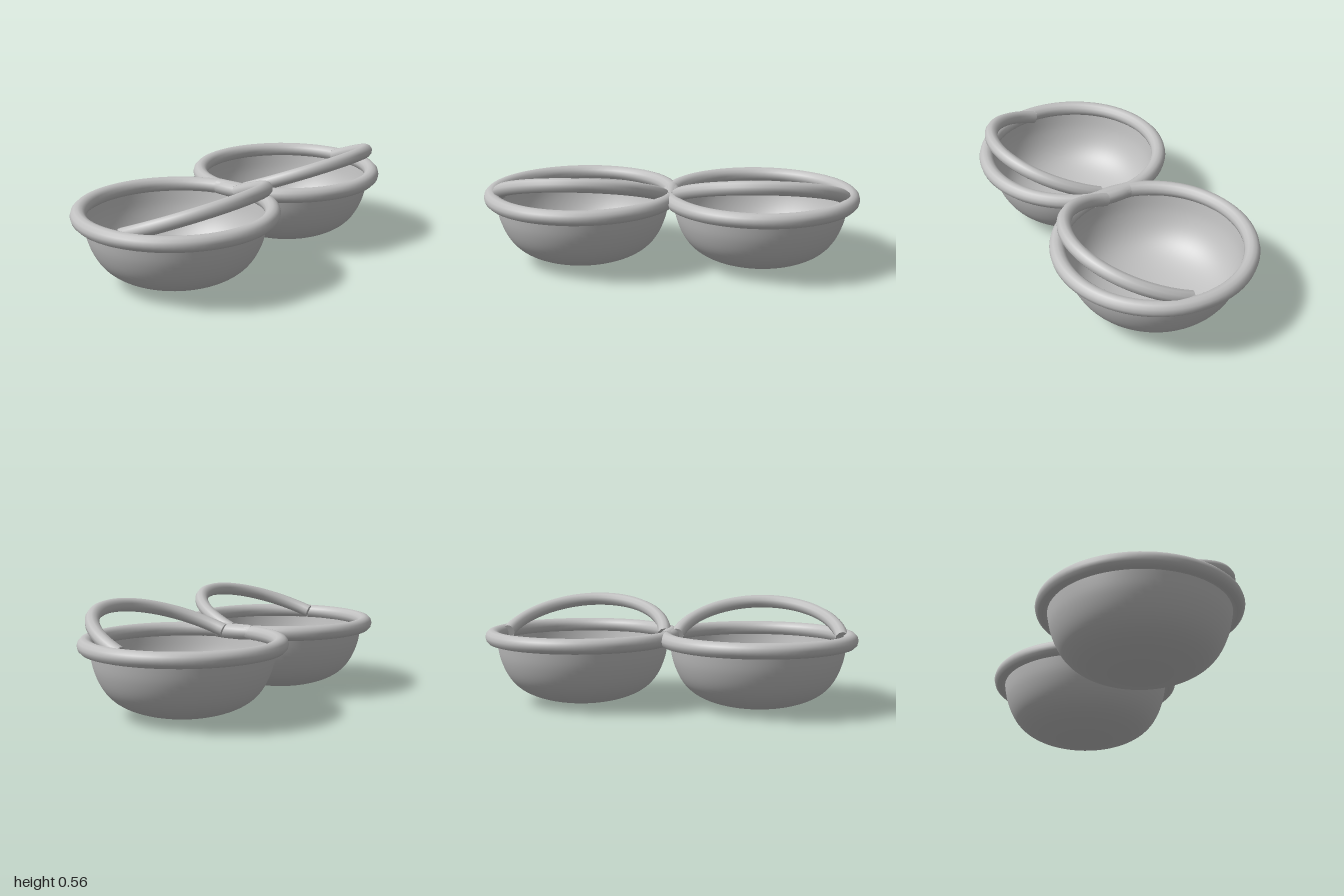
import * as THREE from 'three';

const BOWL_X = 0.475, RIM_Y = 0.365, HANDLE_R = 0.036;

export function createModel() {
  const grey = new THREE.MeshStandardMaterial({ color: 0xc0c0c0, side: THREE.DoubleSide });
  grey.name = 'grey';
  const model = new THREE.Group();
  model.name = 'twinBowls';

  const add = (parent, name, geometry) => {
    const mesh = new THREE.Mesh(geometry, grey);
    mesh.name = name;
    parent.add(mesh);
    return mesh;
  };

  // Thin bowl wall, from the middle of the base up into the rim
  const wall = new THREE.SplineCurve([
    [0, 0.003], [0.1, 0.007], [0.2, 0.024], [0.28, 0.05], [0.34, 0.083], [0.385, 0.125],
    [0.42, 0.18], [0.447, 0.25], [0.462, 0.325], [0.468, 0.375],
  ].map(([r, y]) => new THREE.Vector2(r, y)));
  const profile = wall.getPoints(36);
  profile[0].x = 0;
  const bowlGeometry = new THREE.LatheGeometry(profile, 64);

  // Round rim
  const rimGeometry = new THREE.TorusGeometry(0.485, 0.04, 12, 72).rotateX(Math.PI / 2);

  // Handle: half an ellipse rising toward the front
  const points = [];
  for (let i = 0; i <= 24; i++) {
    const t = 0.11 + (Math.PI - 0.22) * i / 24;
    const z = 0.45 * Math.sin(t);
    points.push(new THREE.Vector3(0.443 * Math.cos(t), 0.352 + 0.38 * z, z));
  }
  const handleCurve = new THREE.CatmullRomCurve3(points);
  const handleGeometry = new THREE.TubeGeometry(handleCurve, 48, HANDLE_R, 10);

  for (const side of [-1, 1]) {
    const bowl = new THREE.Group();
    bowl.name = side < 0 ? 'rightBowl' : 'leftBowl';
    bowl.position.x = side * BOWL_X;
    model.add(bowl);
    add(bowl, 'bowlWall', bowlGeometry);
    add(bowl, 'rim', rimGeometry).position.y = RIM_Y;
    add(bowl, 'handle', handleGeometry);

    // Flat ends of the handle
    for (const u of [0, 1]) {
      const cap = add(bowl, 'handleEnd', new THREE.CircleGeometry(HANDLE_R, 10));
      const outward = handleCurve.getTangent(u).multiplyScalar(u ? 1 : -1);
      cap.position.copy(handleCurve.getPoint(u));
      cap.quaternion.setFromUnitVectors(new THREE.Vector3(0, 0, 1), outward);
    }
  }

  // Short bar joining the two rims
  add(model, 'joint', new THREE.CylinderGeometry(0.042, 0.042, 0.21, 16).rotateX(Math.PI / 2))
    .position.y = RIM_Y;

  return model;
}
